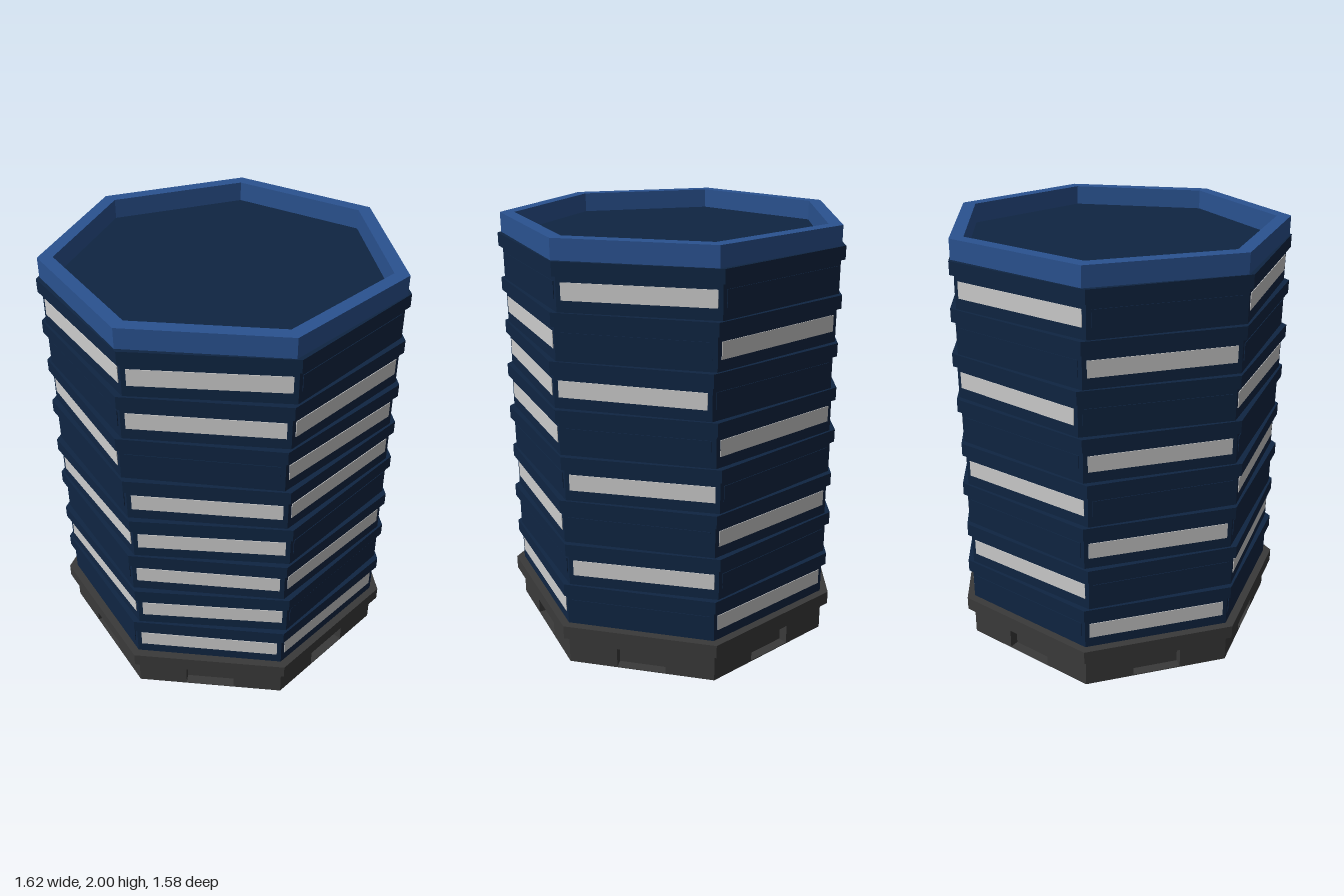
import * as THREE from 'three';

const SIDES = 7;
const STEP = (Math.PI * 2) / SIDES;
const FLOORS = 8;
const FLOOR_H = 0.2125;
const GROUND_H = 0.21;
const BAND_H = 0.06;
const BODY_R = 0.79;

const paint = (color) => new THREE.MeshStandardMaterial({ color, flatShading: true });
const mats = {
  wall: paint(0x0f2542),
  trim: paint(0x2a5290),
  stone: paint(0x3a3a3a),
  window: paint(0xcccccc),
};

const apothem = (r) => r * Math.cos(STEP / 2);

function add(parent, name, geometry, material) {
  const mesh = new THREE.Mesh(geometry, material);
  mesh.name = name;
  parent.add(mesh);
  return mesh;
}

// Seven-sided block from y0 to y1, flat side to the front
function prism(r, y0, y1) {
  const g = new THREE.CylinderGeometry(r, r, y1 - y0, SIDES);
  g.rotateY(Math.PI);
  g.translate(0, (y0 + y1) / 2, 0);
  return g;
}

// Seven-sided outline in plan (x, -z); optional notch in the middle of each side
function outline(r, notchW = 0, notchD = 0) {
  const a = apothem(r);
  const half = r * Math.sin(STEP / 2);
  const pts = [];
  for (let i = 0; i < SIDES; i++) {
    const t = i * STEP;
    const at = (u, d) => new THREE.Vector2(
      Math.sin(t) * d + Math.cos(t) * u,
      -(Math.cos(t) * d - Math.sin(t) * u));
    pts.push(at(-half, a));
    if (notchW) {
      const w = notchW / 2;
      pts.push(at(-w, a), at(-w, a - notchD), at(w, a - notchD), at(w, a));
    }
  }
  return pts;
}

function extrudeUp(shape, y0, y1) {
  const g = new THREE.ExtrudeGeometry(shape, { depth: y1 - y0, bevelEnabled: false });
  g.rotateX(-Math.PI / 2);
  g.translate(0, y0, 0);
  return g;
}

// Ground storey with a recessed doorway in every side
function makeBase() {
  const base = new THREE.Group();
  base.name = 'base';
  const r = 0.795;
  add(base, 'basePlate', prism(r, 0, 0.004), mats.stone);
  add(base, 'doorwayWalls', extrudeUp(new THREE.Shape(outline(r, 0.23, 0.045)), 0.004, 0.1), mats.stone);
  add(base, 'lintel', prism(r, 0.1, 0.145), mats.stone);
  add(base, 'baseLedge', prism(0.83, 0.145, GROUND_H), mats.stone);
  return base;
}

// One storey: walls, projecting band, and alternating window and blank panels
function makeFloor(level) {
  const floor = new THREE.Group();
  floor.name = `floor${level + 1}`;
  const turn = level === 5 ? 2 : level % 2 ? 0 : 1;
  add(floor, 'walls', prism(BODY_R, 0, FLOOR_H), mats.wall);
  add(floor, 'band', prism(0.81, FLOOR_H - BAND_H, FLOOR_H), mats.wall);
  const lit = [0, 2, 4, 6];
  for (let i = 0; i < SIDES; i++) {
    const holder = new THREE.Group();
    holder.name = 'panelHolder';
    holder.rotation.y = (i + turn) * STEP;
    const isWindow = lit.includes(i);
    const panel = add(holder, isWindow ? 'window' : 'blankPanel',
      new THREE.BoxGeometry(0.645, 0.075, 0.02), isWindow ? mats.window : mats.wall);
    panel.position.set(0, 0.088, apothem(BODY_R) - 0.007);
    floor.add(holder);
  }
  // Each storey is twisted slightly against its neighbours
  floor.rotation.y = THREE.MathUtils.degToRad(1.2 - 1.4 * turn);
  floor.position.y = GROUND_H + level * FLOOR_H;
  return floor;
}

export function createModel() {
  const tower = new THREE.Group();
  tower.name = 'tower';
  const plan = new THREE.Group();
  plan.name = 'building';
  plan.position.z = 0.041;
  tower.add(plan);

  plan.add(makeBase());
  for (let level = 0; level < FLOORS; level++) plan.add(makeFloor(level));

  // Open parapet around the flat roof
  const ring = new THREE.Shape(outline(0.796));
  ring.holes.push(new THREE.Path(outline(0.73).reverse()));
  add(plan, 'parapet', extrudeUp(ring, GROUND_H + FLOORS * FLOOR_H, 2), mats.trim);

  return tower;
}
